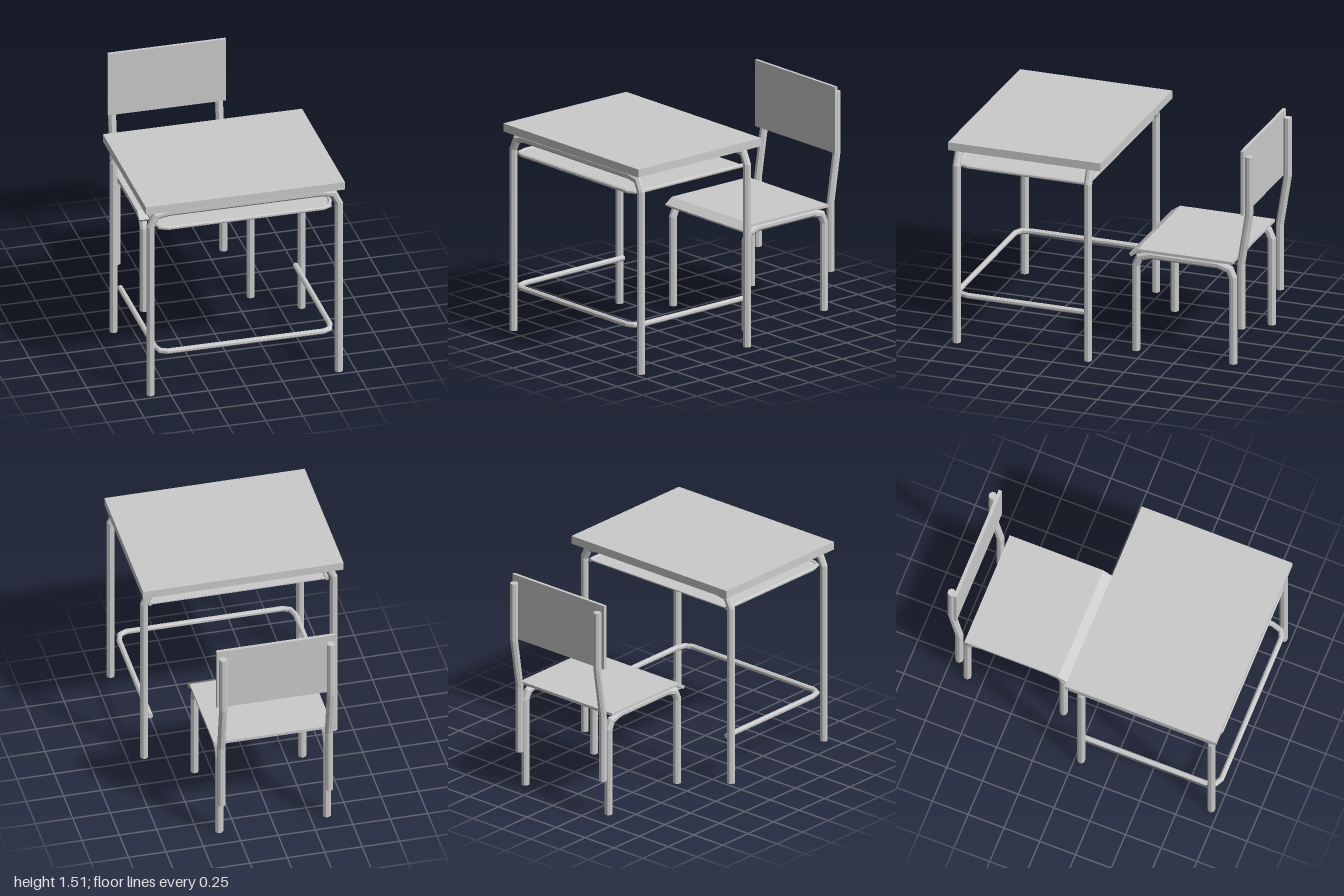
import * as THREE from 'three';

const metal = new THREE.MeshStandardMaterial({ color: 0xcccccc, flatShading: true });

function addMesh(parent, name, geometry, x = 0, y = 0, z = 0) {
  const mesh = new THREE.Mesh(geometry, metal);
  mesh.name = name;
  mesh.position.set(x, y, z);
  parent.add(mesh);
  return mesh;
}

// Eight-sided tube with mitred bends along a path lying in a plane with normal n.
function mitredTube(points, n, apothem, sides = 8) {
  const r = apothem / Math.cos(Math.PI / sides);
  const positions = [], index = [];
  const last = points.length - 1;
  points.forEach((p, i) => {
    const out = points[Math.min(i + 1, last)].clone().sub(points[Math.min(i, last - 1)]).normalize();
    const into = points[Math.max(i, 1)].clone().sub(points[Math.max(i - 1, 0)]).normalize();
    const m = into.clone().add(out).normalize();
    const side = m.clone().cross(n).multiplyScalar(1 / m.dot(into));
    for (let j = 0; j < sides; j++) {
      const a = ((j + 0.5) / sides) * Math.PI * 2;
      const v = p.clone().addScaledVector(n, r * Math.cos(a)).addScaledVector(side, r * Math.sin(a));
      positions.push(v.x, v.y, v.z);
    }
  });
  for (let i = 0; i < last; i++) {
    for (let j = 0; j < sides; j++) {
      const a = i * sides + j, b = i * sides + (j + 1) % sides;
      index.push(a, b, b + sides, a, b + sides, a + sides);
    }
  }
  // End caps
  const e = last * sides;
  for (let j = 1; j < sides - 1; j++) index.push(0, j + 1, j, e, e + j, e + j + 1);
  const g = new THREE.BufferGeometry();
  g.setAttribute('position', new THREE.Float32BufferAttribute(positions, 3));
  g.setIndex(index);
  const flat = g.toNonIndexed();
  flat.computeVertexNormals();
  return flat;
}

// Half a path of [across, along] pairs, completed by its mirror image about across = 0.
const mirrored = (half) => [...half, ...half.slice().reverse().map(([a, b]) => [-a, b])];

const X = new THREE.Vector3(1, 0, 0);
const Y = new THREE.Vector3(0, 1, 0);
const Z = new THREE.Vector3(0, 0, 1);

function createDesk() {
  const desk = new THREE.Group();
  desk.name = 'desk';
  addMesh(desk, 'deskTop', new THREE.BoxGeometry(1.34, 0.055, 1.055), 0, 1.377, 0.4725);

  // Arched leg frames, front and back
  const cx = 0.0075;
  const arch = mirrored([[-0.633, 0], [-0.633, 1.235], [-0.597, 1.31], [-0.515, 1.325]])
    .map(([x, y]) => new THREE.Vector3(x, y, 0));
  for (const [name, z] of [['frontLegFrame', 0.951], ['backLegFrame', 0.041]]) {
    addMesh(desk, name, mitredTube(arch, Z, 0.025), cx, 0, z);
  }

  // U-shaped rails, open to the back
  const plan = mirrored([[-0.59, 0.045], [-0.59, 0.89], [-0.57, 0.955], [-0.525, 0.978]]);
  const railPath = plan.map(([x, z]) => new THREE.Vector3(x, 0, z));
  addMesh(desk, 'footRail', mitredTube(railPath, Y, 0.017), cx, 0.317, 0);
  addMesh(desk, 'shelfRail', mitredTube(railPath, Y, 0.013), cx, 1.222, 0);

  // Thin storage shelf filling the upper rail
  const outline = new THREE.Shape(plan.map(([x, z]) => new THREE.Vector2(x, z)));
  const shelf = new THREE.ExtrudeGeometry(outline, { depth: 0.008, bevelEnabled: false });
  shelf.rotateX(Math.PI / 2);
  addMesh(desk, 'shelf', shelf, cx, 1.226, 0);
  return desk;
}

function createChair() {
  const chair = new THREE.Group();
  chair.name = 'chair';

  // Seat panel with a turned-down front edge
  const profile = new THREE.Shape([
    [-0.868, 0.705], [-0.222, 0.705], [-0.166, 0.666], [-0.152, 0.684], [-0.212, 0.724], [-0.868, 0.724],
  ].map(([z, y]) => new THREE.Vector2(-z, y)));
  const seat = new THREE.ExtrudeGeometry(profile, { depth: 0.794, bevelEnabled: false });
  seat.translate(0, 0, -0.397).rotateY(Math.PI / 2);
  addMesh(chair, 'seat', seat);

  addMesh(chair, 'backrest', new THREE.BoxGeometry(0.794, 0.45, 0.022), 0, 1.285, -0.934);

  // Side leg frames and bent back posts
  const midZ = -0.524;
  const legPath = mirrored([[0.336, 0], [0.336, 0.6], [0.312, 0.655], [0.234, 0.679]])
    .map(([z, y]) => new THREE.Vector3(0, y, z + midZ));
  const postPath = [[0.255, -0.917], [0.715, -0.917], [1.06, -0.971], [1.465, -0.971]]
    .map(([y, z]) => new THREE.Vector3(0, y, z));
  for (const [label, s] of [['left', 1], ['right', -1]]) {
    addMesh(chair, label + 'LegFrame', mitredTube(legPath, X, 0.025), s * 0.36, 0, 0);
    addMesh(chair, label + 'BackPost', mitredTube(postPath, X, 0.025), s * 0.36, 0, 0);
  }
  return chair;
}

export function createModel() {
  const model = new THREE.Group();
  model.name = 'schoolDeskAndChair';
  model.add(createDesk(), createChair());
  return model;
}
